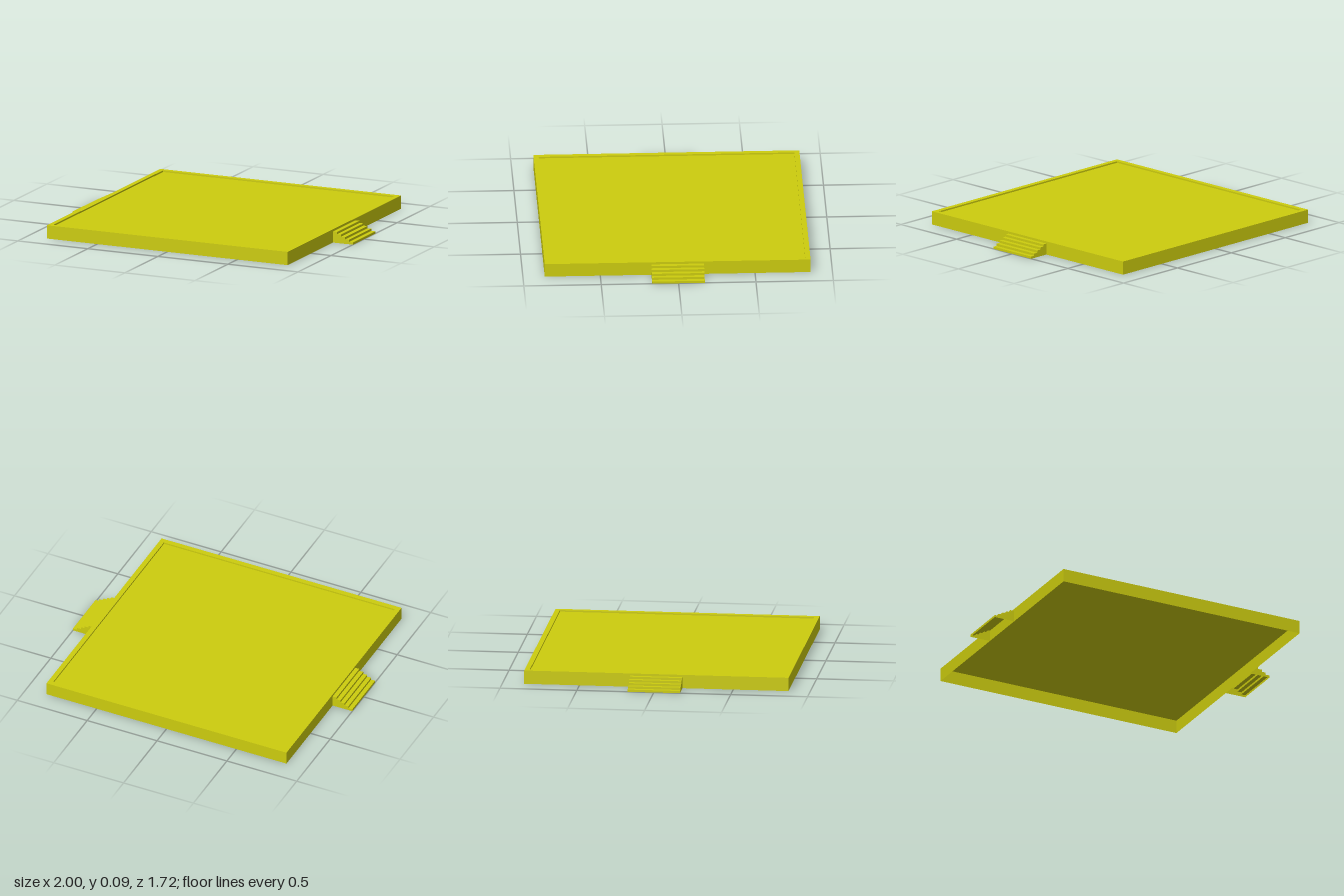
import * as THREE from 'three';

const HALF = 0.859;   // half width of the platform
const HEIGHT = 0.088;
const RIM = 0.033;    // width of the raised border
const RECESS = 0.01;  // depth of the deck below the border
const STEPS = 5;
const RISE = HEIGHT / (STEPS + 1);
const RUN = (1 - HALF) / STEPS;
const STAIR_HALF = 0.17;

export function createModel() {
  const yellow = new THREE.MeshStandardMaterial({ color: 0xcccc0e, side: THREE.DoubleSide });
  yellow.name = 'yellow';
  const model = new THREE.Group();
  model.name = 'platformWithStairs';

  const add = (parent, name, geometry, x = 0, y = 0, z = 0) => {
    const mesh = new THREE.Mesh(geometry, yellow);
    mesh.name = name;
    mesh.position.set(x, y, z);
    parent.add(mesh);
    return mesh;
  };
  // Thin sheets: floor faces +y, wall faces +x
  const floor = (w, d) => new THREE.PlaneGeometry(w, d).rotateX(-Math.PI / 2);
  const wall = (h, d) => new THREE.PlaneGeometry(d, h).rotateY(Math.PI / 2);

  // Sunken deck and the flat border around it
  const inner = HALF - RIM;
  add(model, 'deck', floor(inner * 2, inner * 2), 0, HEIGHT - RECESS, 0);
  const square = (r) => [[-r, -r], [r, -r], [r, r], [-r, r]].map(([x, y]) => new THREE.Vector2(x, y));
  const rim = new THREE.Shape(square(HALF));
  rim.holes.push(new THREE.Path(square(inner)));
  add(model, 'rim', new THREE.ShapeGeometry(rim).rotateX(-Math.PI / 2), 0, HEIGHT, 0);

  // Outer walls and the small inner lip, open underneath
  for (let i = 0; i < 4; i++) {
    const side = new THREE.Group();
    side.name = 'platformSide';
    side.rotation.y = i * Math.PI / 2;
    add(side, 'outerWall', wall(HEIGHT, HALF * 2), HALF, HEIGHT / 2, 0);
    add(side, 'rimLip', wall(RECESS, inner * 2).rotateY(Math.PI), inner, HEIGHT - RECESS / 2, 0);
    model.add(side);
  }

  // Stepped outline of a stair's side panel
  const outline = new THREE.Shape();
  outline.moveTo(HALF, 0);
  outline.lineTo(1, 0);
  for (let i = 0; i < STEPS; i++) {
    outline.lineTo(1 - i * RUN, (i + 1) * RISE);
    outline.lineTo(1 - (i + 1) * RUN, (i + 1) * RISE);
  }

  // Hollow stairs on both sides
  for (const [name, turn] of [['leftStairs', 0], ['rightStairs', Math.PI]]) {
    const stairs = new THREE.Group();
    stairs.name = name;
    stairs.rotation.y = turn;
    for (let i = 0; i < STEPS; i++) {
      const x = 1 - i * RUN;
      add(stairs, 'riser', wall(RISE, STAIR_HALF * 2), x, (i + 0.5) * RISE, 0);
      add(stairs, 'tread', floor(RUN, STAIR_HALF * 2), x - RUN / 2, (i + 1) * RISE, 0);
    }
    add(stairs, 'frontPanel', new THREE.ShapeGeometry(outline), 0, 0, STAIR_HALF);
    add(stairs, 'backPanel', new THREE.ShapeGeometry(outline), 0, 0, -STAIR_HALF);
    model.add(stairs);
  }
  return model;
}
